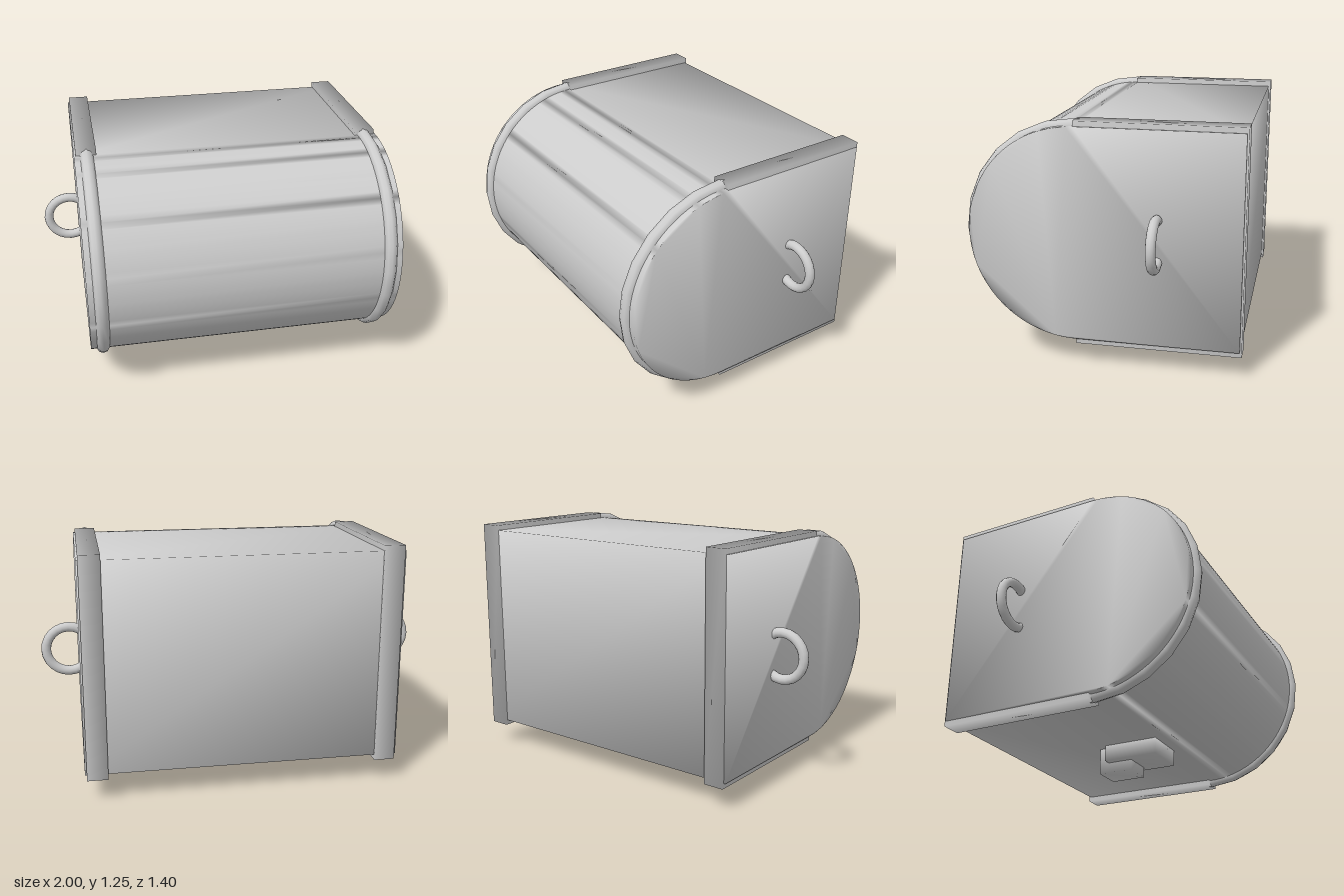
import * as THREE from 'three';
import { mergeVertices } from 'three/addons/utils/BufferGeometryUtils.js';

// Weld the corners so the shading flows smoothly over every edge
function smooth(geometry) {
  geometry.deleteAttribute('normal');
  geometry.deleteAttribute('uv');
  const welded = mergeVertices(geometry, 1e-4);
  welded.computeVertexNormals();
  return welded;
}

export function createModel() {
  const group = new THREE.Group();
  group.name = 'roundFrontedChest';
  const grey = new THREE.MeshStandardMaterial({ color: 0xcccccc });
  grey.name = 'grey';

  const midY = 0.68; // height of the centre line
  const arcZ = 0.13; // where the straight walls meet the round front

  const add = (name, geometry, x, y, z) => {
    const mesh = new THREE.Mesh(geometry, grey);
    mesh.name = name;
    mesh.position.set(x, y, z);
    group.add(mesh);
  };
  const smoothBox = (w, h, d) => smooth(new THREE.BoxGeometry(w, h, d));

  // Body: a D-shaped profile extruded from side to side
  const r = 0.54, back = -0.69, width = 1.614;
  const profile = new THREE.Shape();
  profile.moveTo(back, -r);
  profile.lineTo(arcZ, -r);
  profile.absarc(arcZ, 0, r, -Math.PI / 2, Math.PI / 2, false);
  profile.lineTo(back, r);
  profile.closePath();
  const body = new THREE.ExtrudeGeometry(profile, { depth: width, bevelEnabled: false, curveSegments: 24 });
  body.translate(0, 0, -width / 2).rotateY(-Math.PI / 2);
  add('body', smooth(body), 0, midY, 0);

  // Each end: square band, round front hoop and ring handle
  const step = Math.PI / 12;
  for (const [side, s] of [['left', 1], ['right', -1]]) {
    add(side + 'Band', smoothBox(0.106, 1.134, 0.83), s * 0.745, midY, -0.285);

    const hoop = new THREE.TorusGeometry(0.535, 0.035, 10, 14, step * 14);
    hoop.rotateZ(-step * 7).rotateY(-Math.PI / 2);
    add(side + 'Hoop', hoop, s * 0.742, midY, arcZ);

    add(side + 'Handle', new THREE.TorusGeometry(0.118, 0.025, 12, 24), s * 0.856, midY, -0.28);
  }

  // Latch blocks under the body
  add('latchPlate', smoothBox(0.24, 0.105, 0.3), 0, 0.1075, 0.005);
  add('latchTab', smoothBox(0.156, 0.15, 0.19), 0, 0.075, -0.103);

  return group;
}
